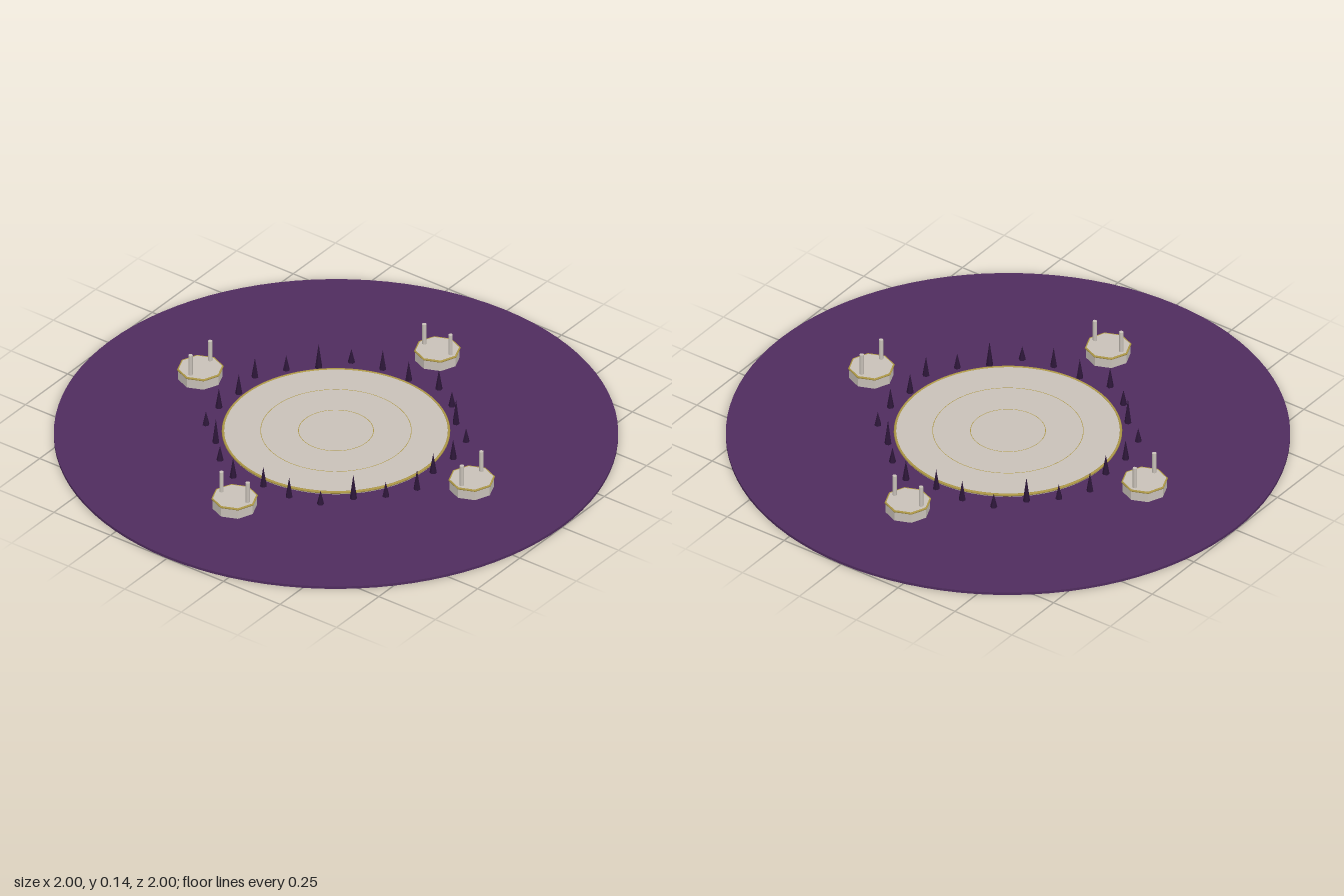
import * as THREE from 'three';

const mat = (color, flatShading = false) => new THREE.MeshStandardMaterial({ color, flatShading });

export function createModel() {
  const model = new THREE.Group();
  const purple = mat(0x4f2c5e), dark = mat(0x2c1638, true);
  const stone = mat(0xc8c1b8), facetedStone = mat(0xc8c1b8, true), gold = mat(0xb09a48);

  const add = (parent, name, geometry, material, x = 0, y = 0, z = 0) => {
    const mesh = new THREE.Mesh(geometry, material);
    mesh.name = name;
    mesh.position.set(x, y, z);
    parent.add(mesh);
    return mesh;
  };
  // Horizontal ring of round section
  const ring = (radius, tube, segments) =>
    new THREE.TorusGeometry(radius, tube, 6, segments).rotateX(Math.PI / 2);

  // Wide ground disc and the raised round floor in its middle
  add(model, 'ground', new THREE.CylinderGeometry(1, 1, 0.01, 96), purple, 0, 0.005);
  add(model, 'arenaFloor', new THREE.CylinderGeometry(0.4, 0.4, 0.018, 96), stone, 0, 0.011);
  add(model, 'floorRim', ring(0.4, 0.005, 96), gold, 0, 0.018);

  // Fine inlaid rings, almost flush with the floor
  for (const r of [0.133, 0.267])
    add(model, 'inlayRing', ring(r, 0.002, 72), gold, 0, 0.0185);

  // Circle of spikes with repeating offsets and heights
  const heights = [0.08, 0.08, 0.055, 0.1, 0.06, 0.08];
  const spikes = new THREE.Group();
  spikes.name = 'spikes';
  model.add(spikes);
  for (let i = 0; i < 24; i++) {
    const a = (i / 24) * Math.PI * 2, r = 0.43 + (i % 3) * 0.017, h = heights[i % 6];
    const spike = add(spikes, 'spike', new THREE.ConeGeometry(0.013, h, 6), dark,
      Math.cos(a) * r, 0.01 + h / 2, -Math.sin(a) * r);
    spike.rotation.y = a;
  }

  // Four eight-sided platforms, each with a rim and a pair of posts
  for (let i = 0; i < 4; i++) {
    const platform = new THREE.Group();
    platform.name = 'platform';
    platform.rotation.y = (i * Math.PI) / 2;
    model.add(platform);
    add(platform, 'platformBase', new THREE.CylinderGeometry(0.08, 0.08, 0.045, 8), facetedStone, 0, 0.0305, 0.6);
    add(platform, 'platformRim', ring(0.08, 0.004, 8), gold, 0, 0.05, 0.6);
    for (const s of [-1, 1])
      add(platform, 'post', new THREE.CylinderGeometry(0.008, 0.008, 0.085, 8), stone, s * 0.058, 0.0925, 0.6);
  }
  return model;
}
